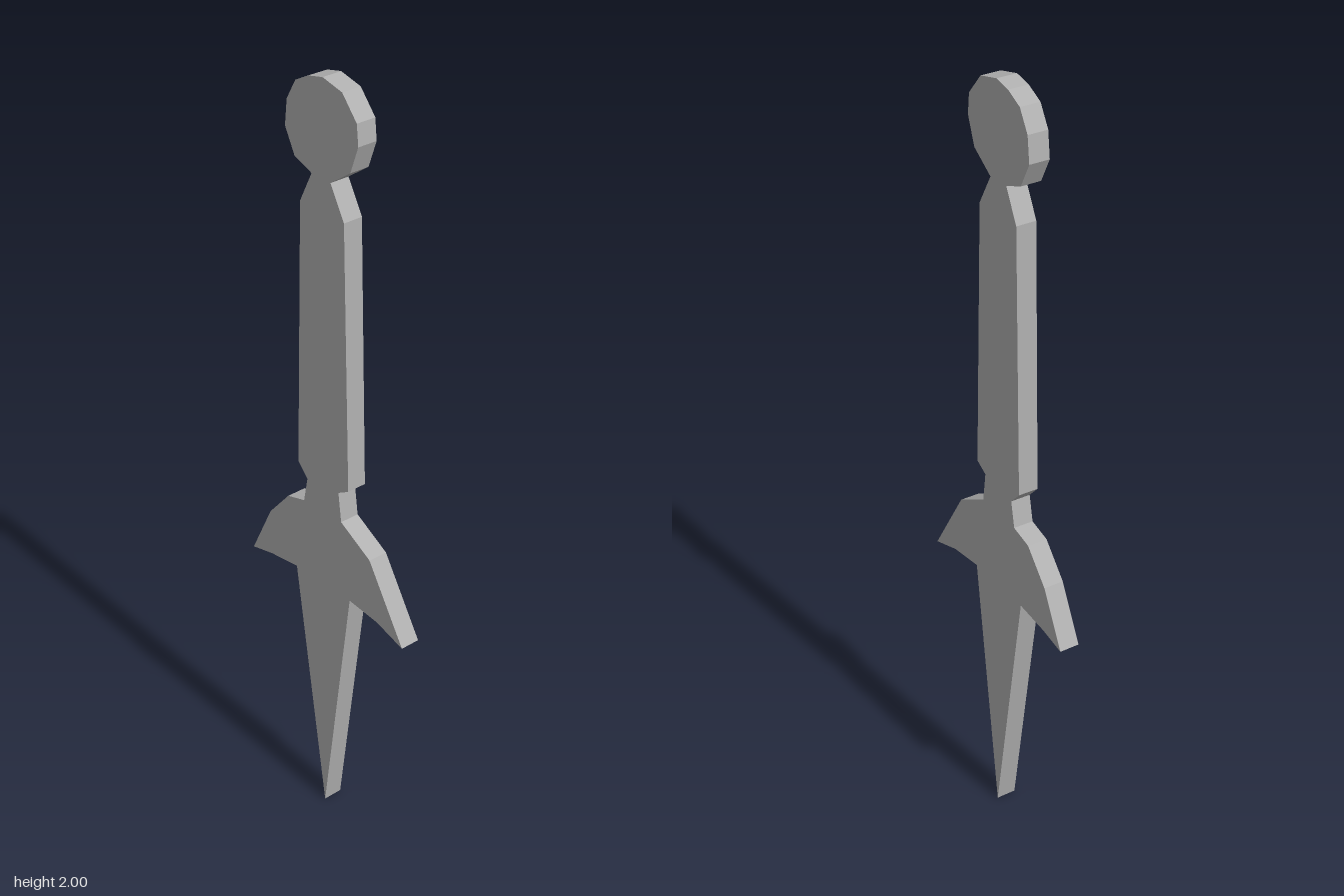
import * as THREE from 'three';

const DEPTH = 0.052;

export function createModel() {
  const group = new THREE.Group();
  group.name = 'dagger';
  const steel = new THREE.MeshStandardMaterial({ color: 0xb0b0b0 });
  steel.name = 'grey steel';

  // Flat plate cut from an outline, centred on z = 0
  function plate(name, outline) {
    const shape = new THREE.Shape(outline.map(([x, y]) => new THREE.Vector2(x, y)));
    const geometry = new THREE.ExtrudeGeometry(shape, { depth: DEPTH, bevelEnabled: false });
    geometry.translate(0, 0, -DEPTH / 2);
    const mesh = new THREE.Mesh(geometry, steel);
    mesh.name = name;
    group.add(mesh);
  }

  // Corners shared by neighbouring parts
  const neckL = [-0.043, 1.767], neckR = [0.02, 1.765];
  const collarL = [-0.078, 0.897], collarR = [0.058, 0.902];
  const rootL = [-0.108, 0.688], rootR = [0.09, 0.69];

  // Irregular round pommel
  plate('pommel', [
    neckL, neckR, [0.085, 1.81], [0.11, 1.878], [0.105, 1.93], [0.058, 1.985],
    [-0.005, 2], [-0.05, 1.99], [-0.095, 1.967], [-0.125, 1.915], [-0.132, 1.85], [-0.1, 1.788],
  ]);

  // Tapered grip with a notched collar
  plate('grip', [
    collarL, collarR, [0.048, 0.98], [0.083, 1.0], [0.065, 1.685], neckR,
    neckL, [-0.083, 1.687], [-0.098, 1.0], [-0.065, 0.965],
  ]);

  // Swept, slightly uneven crossguard
  plate('guard', [
    rootL, rootR, [0.19, 0.68], [0.278, 0.653], [0.16, 0.845], collarR,
    collarL, [-0.138, 0.88], [-0.208, 0.8], [-0.278, 0.658], [-0.205, 0.675],
  ]);

  // Pointed blade
  plate('blade', [rootR, rootL, [-0.003, 0]]);

  return group;
}
